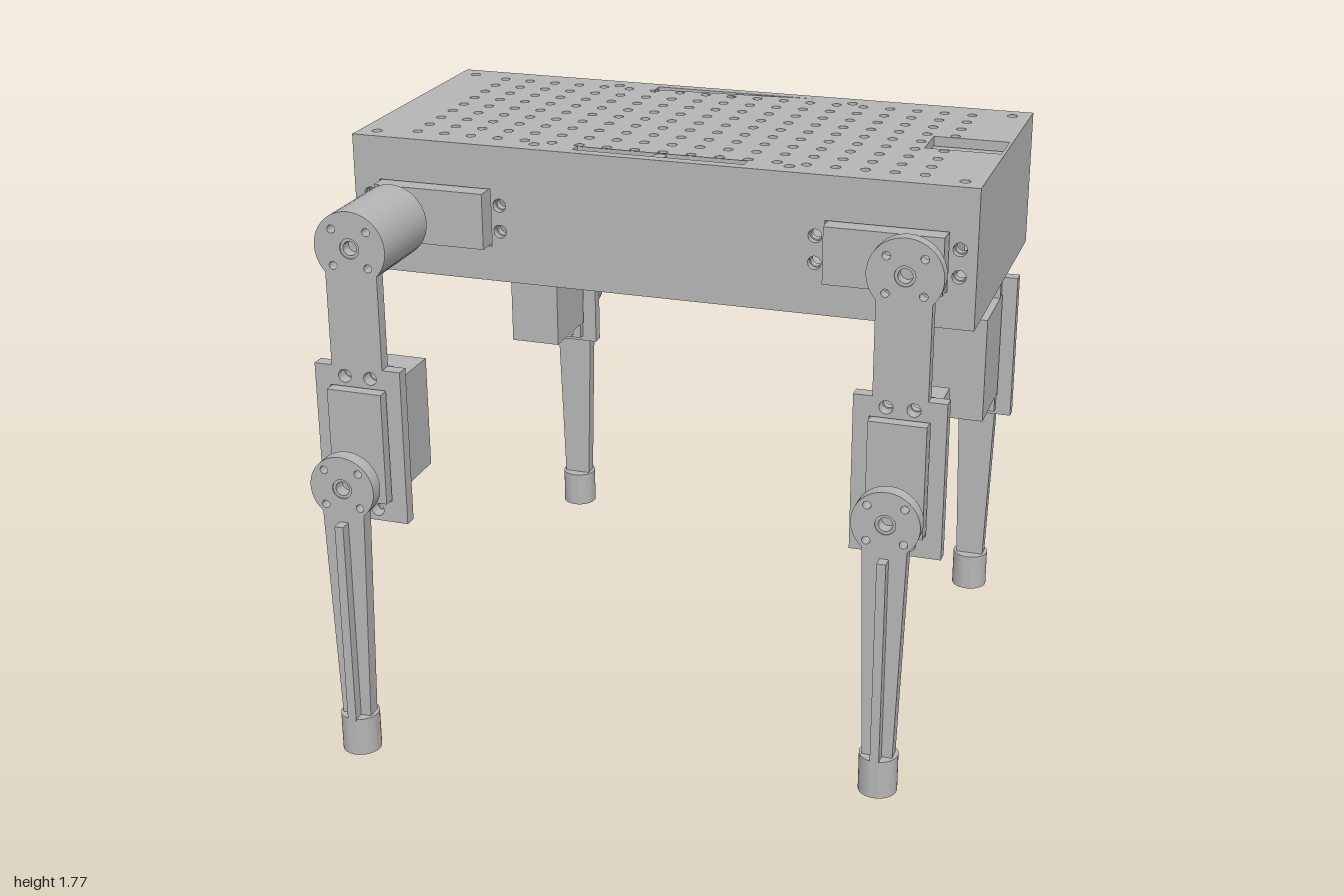
import * as THREE from 'three';
import { toCreasedNormals } from 'three/addons/utils/BufferGeometryUtils.js';

const grey = new THREE.MeshStandardMaterial({ color: 0xb5b5b5 });
grey.name = 'grey';

function add(parent, name, geometry, x = 0, y = 0, z = 0) {
  const mesh = new THREE.Mesh(geometry, grey);
  mesh.name = name;
  mesh.position.set(x, y, z);
  parent.add(mesh);
  return mesh;
}

// Box given by its limits
function block(parent, name, [x0, x1], [y0, y1], [z0, z1]) {
  return add(parent, name, new THREE.BoxGeometry(x1 - x0, y1 - y0, z1 - z0),
    (x0 + x1) / 2, (y0 + y1) / 2, (z0 + z1) / 2);
}

// Cylinder along z from z0 to z1
function rod(parent, name, r, z0, z1, x = 0, y = 0) {
  const g = new THREE.CylinderGeometry(r, r, z1 - z0, 40).rotateX(Math.PI / 2);
  return add(parent, name, g, x, y, (z0 + z1) / 2);
}

function rect(x0, y0, x1, y1) {
  return new THREE.Shape([[x0, y0], [x1, y0], [x1, y1], [x0, y1]].map(p => new THREE.Vector2(...p)));
}

function hole(shape, x, y, r) {
  shape.holes.push(new THREE.Path().absarc(x, y, r, 0, Math.PI * 2, true));
}

function extrude(shape, depth, curveSegments = 20) {
  const g = new THREE.ExtrudeGeometry(shape, { depth, bevelEnabled: false, curveSegments });
  return toCreasedNormals(g, 0.6);
}

// Four screw holes and a centre bore for a servo horn
function hornHoles(shape, y) {
  hole(shape, 0, y, 0.03);
  for (const sx of [-1, 1]) for (const sy of [-1, 1]) hole(shape, sx * 0.054, y + sy * 0.054, 0.012);
}

function hub(parent, y, z, depth) {
  const ring = new THREE.Shape().absarc(0, 0, 0.0299, 0, Math.PI * 2);
  hole(ring, 0, 0, 0.021);
  add(parent, 'hubRing', extrude(ring, depth - 0.004), 0, y, z);
}

// Servo with its shaft at the origin pointing +z and its case running up +y
function makeServo(name) {
  const servo = new THREE.Group();
  servo.name = name;
  block(servo, 'servoCase', [-0.085, 0.085], [-0.085, 0.26], [-0.315, 0]);
  for (const [y0, y1, hy] of [[-0.137, -0.085, -0.12], [0.26, 0.316, 0.295]]) {
    const ear = rect(-0.085, y0, 0.085, y1);
    for (const x of [-0.04, 0.04]) hole(ear, x, hy, 0.0165);
    add(servo, 'servoEar', extrude(ear, 0.025), 0, 0, -0.095);
  }
  rod(servo, 'servoBoss', 0.05, 0, 0.035);
  rod(servo, 'servoShaft', 0.03, 0.035, 0.066);
  return servo;
}

// x: leg position, side: +1 front or -1 back, shift: how far out the leg sits
function makeLeg(x, side, shift) {
  const leg = new THREE.Group();
  leg.name = (side > 0 ? 'front' : 'back') + (x > 0 ? 'Left' : 'Right') + 'Leg';
  leg.position.x = x;
  if (side < 0) leg.rotation.y = Math.PI;

  // Hip servo, case pointing to the middle of the body
  const hip = makeServo('hipServo');
  hip.position.set(0, 1.55, 0.478);
  hip.rotation.z = Math.PI / 2 * Math.sign(x) * side;
  leg.add(hip);
  if (shift > 0) rod(leg, 'hipSpacer', 0.11, 0.54, 0.546 + shift, 0, 1.55);

  // Upper leg plate: round horn, neck and servo frame
  const plate = new THREE.Shape();
  plate.moveTo(-0.135, 0.71).lineTo(0.135, 0.71).lineTo(0.135, 1.19).lineTo(0.08, 1.19);
  plate.absarc(0, 1.55, 0.11, -0.756, Math.PI + 0.756, false);
  plate.lineTo(-0.08, 1.19).lineTo(-0.135, 1.19).lineTo(-0.135, 0.71);
  hornHoles(plate, 1.55);
  for (const hx of [-0.04, 0.04]) for (const hy of [0.745, 1.16]) hole(plate, hx, hy, 0.02);
  plate.holes.push(rect(-0.088, 0.777, 0.088, 1.128));
  const z = 0.545 + shift;
  add(leg, 'upperLeg', extrude(plate, 0.04), 0, 0, z);
  hub(leg, 1.55, z, 0.04);

  // Knee servo
  const knee = makeServo('kneeServo');
  knee.position.set(0, 0.865, z + 0.07);
  leg.add(knee);

  // Tapered lower leg with a stiffening rib
  const shin = new THREE.Shape();
  shin.moveTo(-0.045, 0.11).lineTo(0.045, 0.11);
  shin.absarc(0, 0.865, 0.1, -0.863, Math.PI + 0.863, false);
  shin.lineTo(-0.045, 0.11);
  hornHoles(shin, 0.865);
  add(leg, 'lowerLeg', extrude(shin, 0.045), 0, 0, z + 0.135);
  hub(leg, 0.865, z + 0.135, 0.045);
  block(leg, 'lowerLegRib', [-0.0135, 0.0135], [0.11, 0.76], [z + 0.175, z + 0.215]);

  // Foot with a hollow underneath
  const profile = [[0, 0.04], [0.032, 0.04], [0.032, 0], [0.058, 0], [0.058, 0.122], [0, 0.122]]
    .map(p => new THREE.Vector2(...p));
  add(leg, 'foot', toCreasedNormals(new THREE.LatheGeometry(profile, 40), 0.6), 0, 0, z + 0.157);
  return leg;
}

function makeBody() {
  const body = new THREE.Group();
  body.name = 'body';
  const X = 0.945, Z = 0.43, Y0 = 1.355, Y1 = 1.74, T = 0.022;

  // Perforated top plate
  const top = rect(-X, -Z, X, Z);
  for (let i = -9; i <= 9; i++) {
    for (let j = -4; j <= 4; j++) {
      if (i === 9 && j === 0) continue;
      hole(top, i * 0.0857, j * 0.0857, 0.015);
    }
  }
  for (const s of [-1, 1]) {
    for (const x of [-0.89, -0.387, 0.387, 0.89]) hole(top, x, s * 0.373, 0.016);
    top.holes.push(rect(-0.26, s * 0.373 - 0.022, 0.26, s * 0.373 + 0.022));
  }
  top.holes.push(rect(0.71, -0.067, 0.935, 0.067));
  add(body, 'topPlate', extrude(top, 0.03, 6).rotateX(-Math.PI / 2), 0, Y1, 0);
  block(body, 'notchFloor', [0.7, 0.925], [1.725, 1.738], [-0.075, 0.075]);

  // Bars and screws inside the long slots
  for (const s of [-1, 1]) {
    block(body, 'slotFloor', [-0.27, 0.27], [1.725, 1.738], [s * 0.373 - 0.03, s * 0.373 + 0.03]);
    block(body, 'slotBar', [-0.17, 0.17], [1.735, 1.76], [s * 0.373 - 0.01, s * 0.373 + 0.01]);
    add(body, 'slotScrew', new THREE.CylinderGeometry(0.02, 0.02, 0.034, 20), 0, 1.75, s * 0.373);
  }

  // Long side walls with servo windows and screw holes
  const wall = rect(-X, Y0, X, Y1);
  for (const s of [-1, 1]) {
    wall.holes.push(rect(s * 0.685 - 0.178, 1.462, s * 0.685 + 0.178, 1.638));
    for (const x of [0.48, 0.895]) for (const y of [1.51, 1.59]) hole(wall, s * x, y, 0.02);
  }
  add(body, 'frontWall', extrude(wall, T), 0, 0, Z - T);
  add(body, 'backWall', extrude(wall, T), 0, 0, -Z);

  // End walls, one with two ports
  const end = rect(-Z + T, Y0, Z - T, Y1);
  end.holes.push(rect(0.09, 1.46, 0.265, 1.59), rect(-0.225, 1.495, -0.105, 1.555));
  add(body, 'portWall', extrude(end, T).rotateY(Math.PI / 2), -X, 0, 0);
  block(body, 'plainEndWall', [X - T, X], [Y0, Y1], [-Z + T, Z - T]);
  block(body, 'floor', [-X + T, X - T], [Y0, Y0 + T], [-Z + T, Z - T]);
  return body;
}

export function createModel() {
  const model = new THREE.Group();
  model.name = 'fourLeggedRobot';
  model.add(makeBody());
  for (const side of [1, -1]) {
    model.add(makeLeg(-0.775, side, 0.24));
    model.add(makeLeg(0.775, side, 0));
  }
  return model;
}
